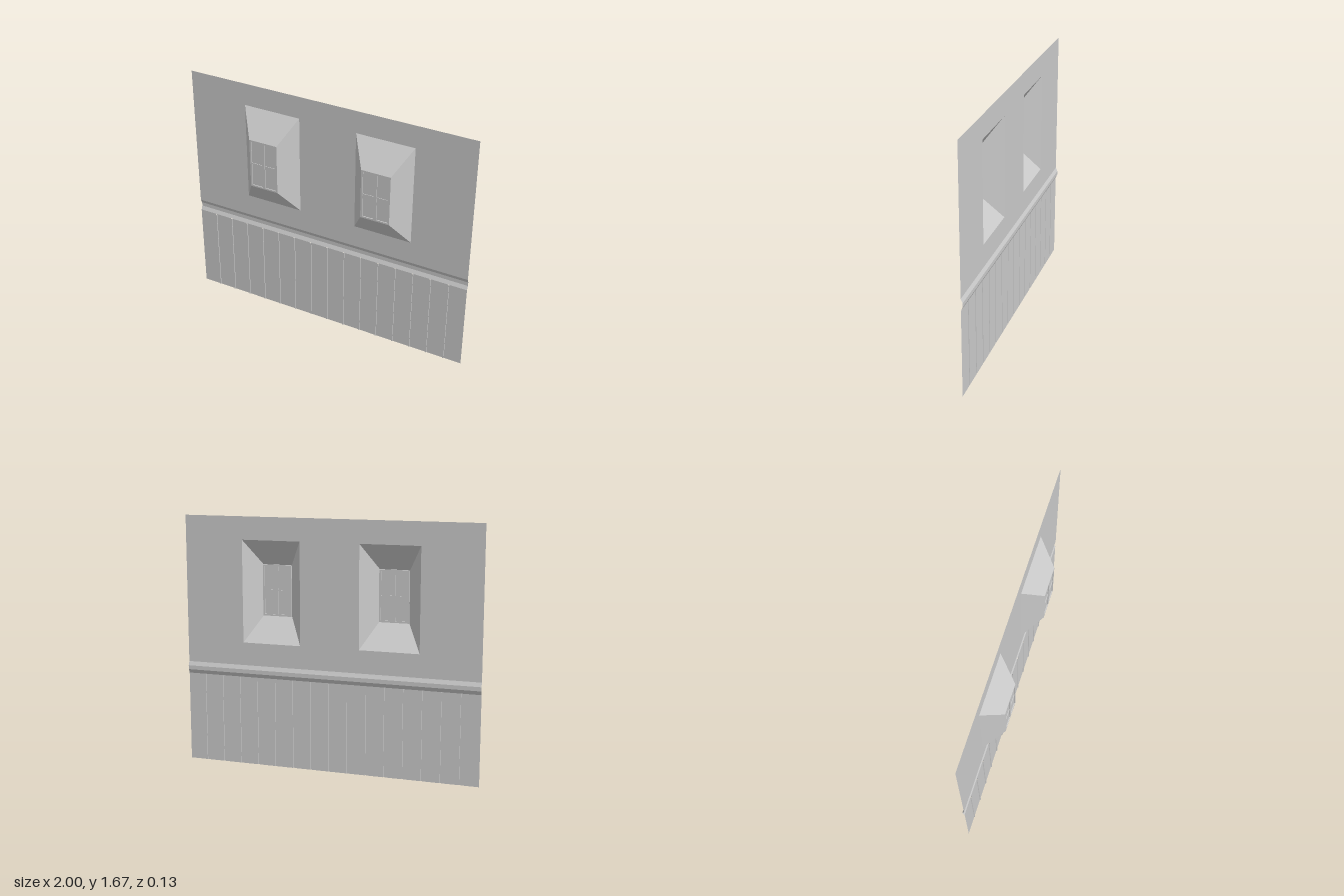
import * as THREE from 'three';

const material = new THREE.MeshStandardMaterial({ color: 0xcccccc, flatShading: true, side: THREE.DoubleSide });

const WALL_Z = -0.055, BACK_Z = -0.067, FRONT_Z = 0.067;
const RAIL_TOP = 0.68, RAIL_BOTTOM = 0.6, HEIGHT = 1.667;

// Open sheet joining two matching lines of points, flat faced
function sheet(a, b) {
  const pos = [];
  for (let i = 0; i < a.length - 1; i++) {
    for (const p of [a[i], b[i], b[i + 1], a[i], b[i + 1], a[i + 1]]) pos.push(...p);
  }
  const g = new THREE.BufferGeometry();
  g.setAttribute('position', new THREE.Float32BufferAttribute(pos, 3));
  g.computeVertexNormals();
  return g;
}

function add(parent, name, geometry, x = 0, y = 0, z = 0) {
  const m = new THREE.Mesh(geometry, material);
  m.name = name;
  m.position.set(x, y, z);
  parent.add(m);
  return m;
}

// Closed rectangle of points, counter-clockwise from the front
function rect(x0, y0, x1, y1, z) {
  return [[x0, y0, z], [x1, y0, z], [x1, y1, z], [x0, y1, z], [x0, y0, z]];
}

// Splayed reveal with a two-leaf casement window at its narrow end
function createWindow() {
  const g = new THREE.Group();
  g.name = 'window';
  add(g, 'reveal', sheet(rect(-0.1, 1.003, 0.1, 1.345, FRONT_Z), rect(-0.2, 0.833, 0.2, 1.515, WALL_Z)));

  const y = 1.174, h = 0.342, depth = 0.012, z = FRONT_Z - depth / 2;
  add(g, 'glass', new THREE.PlaneGeometry(0.2, h), 0, y, z);
  for (const s of [-1, 1]) {
    add(g, 'frameSide', new THREE.BoxGeometry(0.012, h, depth), s * 0.094, y, z);
    add(g, 'frameRail', new THREE.BoxGeometry(0.2, 0.011, depth), 0, y + s * (h / 2 - 0.0055), z);
    add(g, 'glazingBar', new THREE.BoxGeometry(0.08, 0.007, depth * 0.6), s * 0.049, y, z);
  }
  add(g, 'centreMullion', new THREE.BoxGeometry(0.018, h, depth), 0, y, z);
  return g;
}

export function createModel() {
  const model = new THREE.Group();
  model.name = 'windowWall';

  // Upper wall with an opening for each window
  const wall = new THREE.Shape();
  wall.moveTo(-1, RAIL_TOP).lineTo(1, RAIL_TOP).lineTo(1, HEIGHT).lineTo(-1, HEIGHT).closePath();
  for (const x of [-0.4, 0.4]) {
    const hole = new THREE.Path();
    hole.moveTo(x - 0.2, 0.833).lineTo(x - 0.2, 1.515).lineTo(x + 0.2, 1.515).lineTo(x + 0.2, 0.833).closePath();
    wall.holes.push(hole);
    const win = createWindow();
    win.position.x = x;
    model.add(win);
  }
  add(model, 'upperWall', new THREE.ShapeGeometry(wall), 0, 0, WALL_Z);

  // Dado rail, bulging to the back
  const profile = [[RAIL_TOP, WALL_Z], [0.653, BACK_Z], [0.626, BACK_Z], [RAIL_BOTTOM, WALL_Z]];
  const railEnd = x => profile.map(([y, z]) => [x, y, z]);
  add(model, 'dadoRail', sheet(railEnd(-1), railEnd(1)));

  // Panelling: sixteen boards parted by narrow grooves
  const line = [[-1, WALL_Z]];
  for (let i = 1; i < 16; i++) {
    const x = -1 + i * 0.125;
    line.push([x - 0.005, WALL_Z], [x - 0.004, WALL_Z + 0.005], [x + 0.004, WALL_Z + 0.005], [x + 0.005, WALL_Z]);
  }
  line.push([1, WALL_Z]);
  const boardsAt = y => line.map(([x, z]) => [x, y, z]);
  add(model, 'boardPanelling', sheet(boardsAt(RAIL_BOTTOM), boardsAt(0)));

  return model;
}
